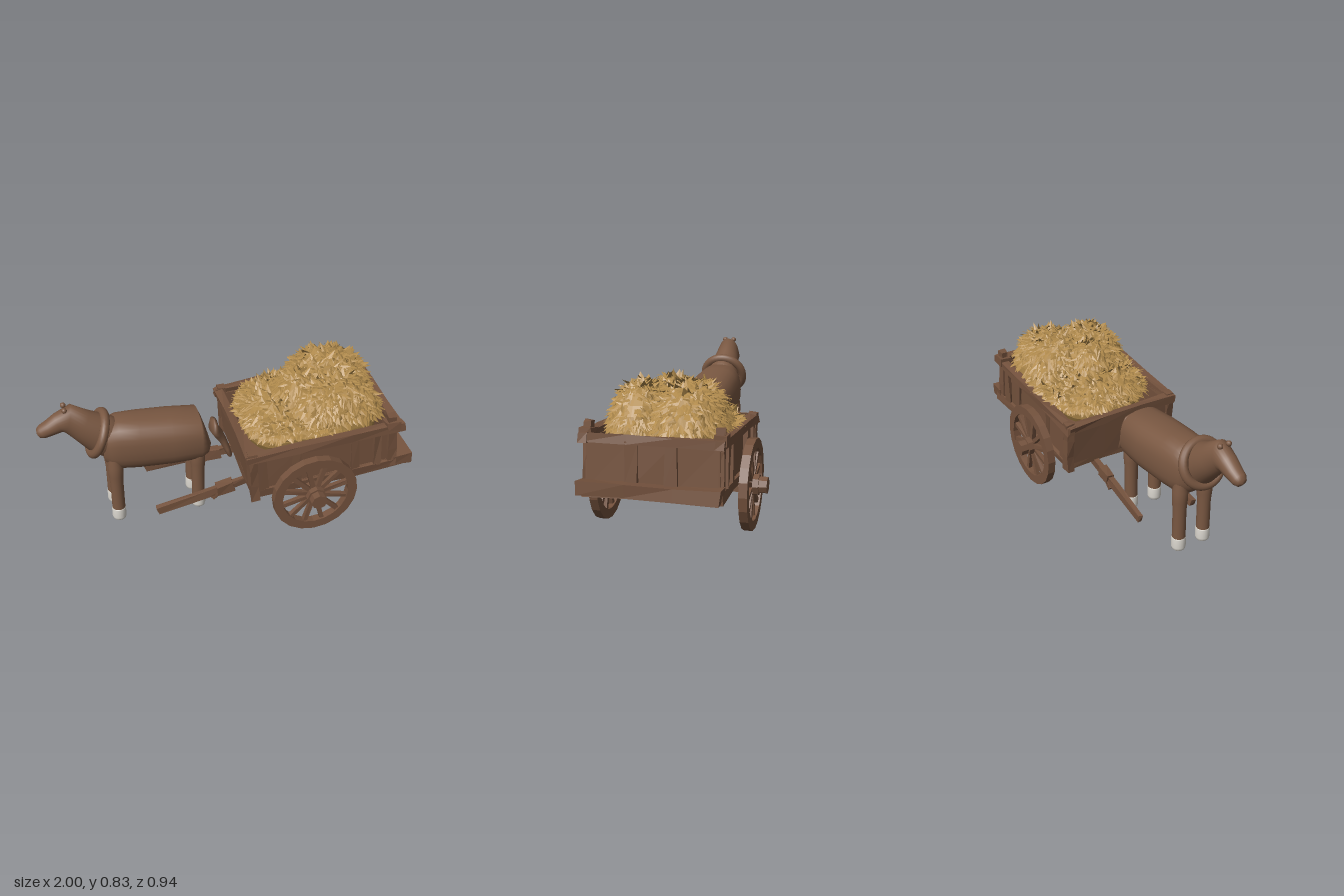
import * as THREE from 'three';

const flat = (color, name, side = THREE.FrontSide) => {
  const m = new THREE.MeshStandardMaterial({ color, flatShading: true, side });
  m.name = name;
  return m;
};
const wood = flat(0x74523d, 'wood');
const straw = flat(0xb08a4c, 'straw', THREE.DoubleSide);
const coat = new THREE.MeshStandardMaterial({ color: 0x7a5842 });
coat.name = 'coat';
const white = new THREE.MeshStandardMaterial({ color: 0xdad6ce });
white.name = 'hoofWhite';

let seed = 7;
const rnd = () => (seed = (seed * 16807) % 2147483647) / 2147483647;
const V = (x, y, z) => new THREE.Vector3(x, y, z);

function add(parent, name, geo, mat, x = 0, y = 0, z = 0) {
  const m = new THREE.Mesh(geo, mat);
  m.name = name;
  m.position.set(x, y, z);
  parent.add(m);
  return m;
}

// Rough-hewn timber: a box whose vertices are nudged a little, shared corners together
function timber(w, h, d, rough = 0.006) {
  const n = (s) => (s > 0.3 ? 3 : 1);
  const geo = new THREE.BoxGeometry(w, h, d, n(w), n(h), n(d));
  const p = geo.attributes.position, moved = {};
  for (let i = 0; i < p.count; i++) {
    const key = [p.getX(i), p.getY(i), p.getZ(i)].map((v) => v.toFixed(4)).join();
    moved[key] ??= [0, 0, 0].map(() => (rnd() - 0.5) * 2 * rough);
    const [a, b, c] = moved[key];
    p.setXYZ(i, p.getX(i) + a, p.getY(i) + b, p.getZ(i) + c);
  }
  return geo;
}

// Beam running from point a to point b
function beam(parent, name, a, b, w, h) {
  const m = add(parent, name, timber(w, h, a.distanceTo(b)), wood);
  m.position.copy(a).lerp(b, 0.5);
  m.lookAt(b);
}

// Smooth body through rings [x, y, half height, half width], square to the path
function loft(rings, power = 1, n = 28) {
  const pos = [], idx = [];
  const sp = (v) => Math.sign(v) * Math.abs(v) ** power;
  rings.forEach(([x, y, ry, rz], i) => {
    const a = rings[Math.max(i - 1, 0)], b = rings[Math.min(i + 1, rings.length - 1)];
    const tx = b[0] - a[0], ty = b[1] - a[1], l = Math.hypot(tx, ty);
    for (let j = 0; j < n; j++) {
      const t = (j / n) * Math.PI * 2, u = sp(Math.cos(t)) * ry;
      pos.push(x + (ty / l) * u, y - (tx / l) * u, sp(Math.sin(t)) * rz);
      if (i === rings.length - 1) continue;
      const p = i * n + j, q = i * n + ((j + 1) % n);
      idx.push(p, p + n, q, q, p + n, q + n);
    }
  });
  const g = new THREE.BufferGeometry();
  g.setAttribute('position', new THREE.Float32BufferAttribute(pos, 3));
  g.setIndex(idx);
  g.computeVertexNormals();
  return g;
}

const lathe = (pts, n) => new THREE.LatheGeometry(pts.map(([r, y]) => new THREE.Vector2(r, y)), n);

function makeHorse() {
  const horse = new THREE.Group();
  horse.name = 'horse';
  add(horse, 'torso', loft([
    [-0.09, 0.49, 0.001, 0.001], [-0.093, 0.49, 0.08, 0.075], [-0.108, 0.485, 0.118, 0.112],
    [-0.14, 0.482, 0.14, 0.138], [-0.3, 0.49, 0.148, 0.145], [-0.48, 0.5, 0.152, 0.138],
    [-0.58, 0.506, 0.15, 0.128], [-0.635, 0.503, 0.13, 0.112], [-0.668, 0.5, 0.09, 0.08], [-0.682, 0.5, 0.001, 0.001],
  ], 0.8), coat);
  add(horse, 'neckAndHead', loft([
    [-0.54, 0.49, 0.001, 0.001], [-0.56, 0.5, 0.12, 0.1], [-0.68, 0.58, 0.11, 0.095], [-0.77, 0.652, 0.085, 0.075],
    [-0.83, 0.697, 0.083, 0.06], [-0.88, 0.68, 0.055, 0.052], [-0.93, 0.655, 0.044, 0.046],
    [-0.97, 0.638, 0.038, 0.04], [-0.99, 0.63, 0.026, 0.028], [-0.998, 0.627, 0.001, 0.001],
  ]), coat);
  const collar = add(horse, 'collar', new THREE.TorusGeometry(0.115, 0.025, 12, 36), coat, -0.685, 0.577, 0);
  collar.rotation.set(0, Math.PI / 2, -0.41, 'ZYX');
  add(horse, 'tail', loft([
    [-0.044, 0.55, 0.001, 0.001], [-0.046, 0.535, 0.018, 0.045], [-0.045, 0.49, 0.028, 0.065],
    [-0.022, 0.45, 0.028, 0.04], [0.004, 0.4, 0.022, 0.03], [0.026, 0.345, 0.018, 0.033],
    [0.042, 0.295, 0.015, 0.035], [0.047, 0.28, 0.001, 0.001],
  ]), coat);
  for (const s of [-1, 1]) {
    add(horse, 'ear', new THREE.SphereGeometry(0.015, 10, 8), coat, -0.846, 0.766, s * 0.026);
    for (const [x, name] of [[-0.612, 'frontLeg'], [-0.158, 'hindLeg']]) {
      add(horse, name, lathe([[0.036, 0.11], [0.036, 0.28], [0.041, 0.34], [0.042, 0.4], [0.025, 0.5]], 20), coat, x, 0, s * 0.078);
      add(horse, 'hoof', lathe([[0.001, 0.025], [0.025, 0.028], [0.036, 0.038], [0.039, 0.052],
        [0.039, 0.105], [0.034, 0.109]], 20), white, x, 0, s * 0.078);
    }
  }
  return horse;
}

function makeWheel(s) {
  const wheel = new THREE.Group();
  wheel.name = 'wheel';
  const rim = lathe([[0.187, -0.022], [0.238, -0.022], [0.238, 0.022], [0.187, 0.022], [0.187, -0.022]], 20);
  add(wheel, 'rim', rim.rotateX(Math.PI / 2), wood);
  for (let i = 0; i < 12; i++) {
    const a = ((i + 0.5) / 12) * Math.PI * 2;
    const spoke = add(wheel, 'spoke', timber(0.165, 0.024, 0.024, 0.002), wood, Math.cos(a) * 0.115, Math.sin(a) * 0.115, 0);
    spoke.rotation.z = a;
  }
  const drum = (r, h) => new THREE.CylinderGeometry(r, r, h, 8).rotateX(Math.PI / 2);
  add(wheel, 'hub', drum(0.055, 0.1), wood, 0, 0, -s * 0.008);
  add(wheel, 'hubCap', drum(0.044, 0.05), wood, 0, 0, s * 0.06);
  wheel.position.set(0.421, 0.238, s * 0.386);
  return wheel;
}

function makeCart() {
  const cart = new THREE.Group();
  cart.name = 'cart';
  // Bed, tipped slightly up at the rear
  const bed = new THREE.Group();
  bed.name = 'bed';
  bed.position.set(0.06, 0.22, 0);
  bed.rotation.z = 0.08;
  cart.add(bed);
  add(bed, 'floor', timber(0.88, 0.055, 0.66), wood, 0.47, 0.03, 0);
  add(bed, 'rearBeam', timber(0.1, 0.065, 0.69), wood, 0.887, 0.043, 0);
  for (const s of [-1, 1]) {
    add(bed, 'sidePanel', timber(0.82, 0.23, 0.025, 0.004), wood, 0.445, 0.155, s * 0.315);
    add(bed, 'topRail', timber(0.885, 0.045, 0.045), wood, 0.448, 0.277, s * 0.33);
    add(bed, 'bottomRail', timber(0.86, 0.05, 0.04), wood, 0.455, 0.03, s * 0.325);
    for (const u of [0.09, 0.28, 0.61, 0.74])
      add(bed, 'sideStake', timber(0.045, 0.22, 0.025), wood, u, 0.16, s * 0.333);
    add(bed, 'frontPost', timber(0.05, 0.32, 0.045), wood, 0.043, 0.15, s * 0.325);
    add(bed, 'rearPost', timber(0.05, 0.33, 0.04), wood, 0.825, 0.185, s * 0.325);
    add(bed, 'postBlock', timber(0.075, 0.05, 0.06), wood, 0.825, 0.295, s * 0.325);
    add(bed, 'rearStake', timber(0.025, 0.2, 0.06), wood, 0.868, 0.17, s * 0.095);
  }
  for (const [name, panelU, railU] of [['front', 0.04, 0.025], ['rear', 0.85, 0.862]]) {
    add(bed, name + 'Panel', timber(0.025, 0.23, 0.64, 0.004), wood, panelU, 0.155, 0);
    add(bed, name + 'Rail', timber(0.045, 0.045, 0.68), wood, railU, 0.277, 0);
  }
  // Running gear and shafts
  add(cart, 'axle', timber(0.07, 0.065, 0.7), wood, 0.42, 0.235, 0);
  for (const s of [-1, 1]) {
    cart.add(makeWheel(s));
    const tip = s < 0 ? V(-0.41, 0.135, -0.185) : V(-0.41, 0.105, 0.16);
    const root = V(0.4, 0.255, s * 0.125), along = (t) => tip.clone().lerp(root, t);
    beam(cart, 'shaft', tip, root, 0.03, 0.045);
    beam(cart, 'shaftSleeve', along(0.42), along(0.54), 0.05, 0.065);
    beam(cart, 'shaftPeg', along(0.44).add(V(-0.04, -0.045, 0)), along(0.48), 0.035, 0.03);
  }
  return cart;
}

function makeHay() {
  const hay = new THREE.Group();
  hay.name = 'hay';
  // Each heap: centre, radii, number of blades
  const heaps = [
    [V(0.49, 0.53, -0.012), V(0.375, 0.09, 0.31), 1500],
    [V(0.32, 0.5, 0), V(0.22, 0.15, 0.26), 800],
    [V(0.63, 0.54, -0.12), V(0.245, 0.25, 0.185), 1000],
    [V(0.6, 0.54, 0.125), V(0.25, 0.235, 0.15), 900],
    [V(0.42, 0.56, 0.02), V(0.13, 0.215, 0.13), 500],
  ];
  const sp = (v) => Math.sign(v) * Math.abs(v) ** 0.8;
  const onHeap = (c, r, d) => V(sp(d.x), d.y, sp(d.z)).multiply(r).add(c);
  const pos = [];
  heaps.forEach(([c, r, count], k) => {
    const geo = new THREE.SphereGeometry(1, 18, 12), p = geo.attributes.position, v = V(0, 0, 0);
    for (let i = 0; i < p.count; i++) {
      const q = onHeap(c, r.clone().multiplyScalar(0.96), v.fromBufferAttribute(p, i));
      p.setXYZ(i, q.x, Math.max(q.y, 0.42), q.z);
    }
    add(hay, 'heap', geo, straw);
    for (let i = 0; i < count; i++) {
      const y = rnd() * 1.05 - 0.05, a = rnd() * Math.PI * 2, h = Math.sqrt(1 - y * y);
      const d = V(Math.cos(a) * h, y, Math.sin(a) * h), base = onHeap(c, r, d);
      const hidden = heaps.some(([c2, r2], j) => j !== k && base.clone().sub(c2).divide(r2).length() < 0.93);
      // Keep blades above the sloping top rail
      if (hidden || base.y < 0.52 + 0.08 * base.x) continue;
      // Folded blade lying down the slope with its tip lifted
      const n = d.clone().divide(r).normalize();
      const down = V(0, -1, 0).addScaledVector(n, n.y).add(V(rnd() - 0.5, rnd() - 0.5, rnd() - 0.5));
      const dir = down.normalize().addScaledVector(n, 0.1 + rnd() * 0.35).normalize();
      const across = V(0, 0, 0).crossVectors(dir, n).normalize();
      const len = 0.05 + rnd() * 0.045, w = 0.013 + rnd() * 0.011;
      const start = base.clone().addScaledVector(dir, -len * 0.4).addScaledVector(n, 0.008);
      const tip = start.clone().addScaledVector(dir, len);
      const mid = start.clone().addScaledVector(dir, len * 0.45);
      const L = mid.clone().addScaledVector(across, w).addScaledVector(n, -0.006);
      const R = mid.clone().addScaledVector(across, -w).addScaledVector(n, -0.006);
      for (const q of [start, L, tip, start, tip, R]) pos.push(q.x, q.y, q.z);
    }
  });
  const blades = new THREE.BufferGeometry();
  blades.setAttribute('position', new THREE.Float32BufferAttribute(pos, 3));
  blades.computeVertexNormals();
  add(hay, 'strawBlades', blades, straw);
  return hay;
}

export function createModel() {
  const model = new THREE.Group();
  model.name = 'horseAndHayCart';
  model.add(makeHorse(), makeCart(), makeHay());
  return model;
}
